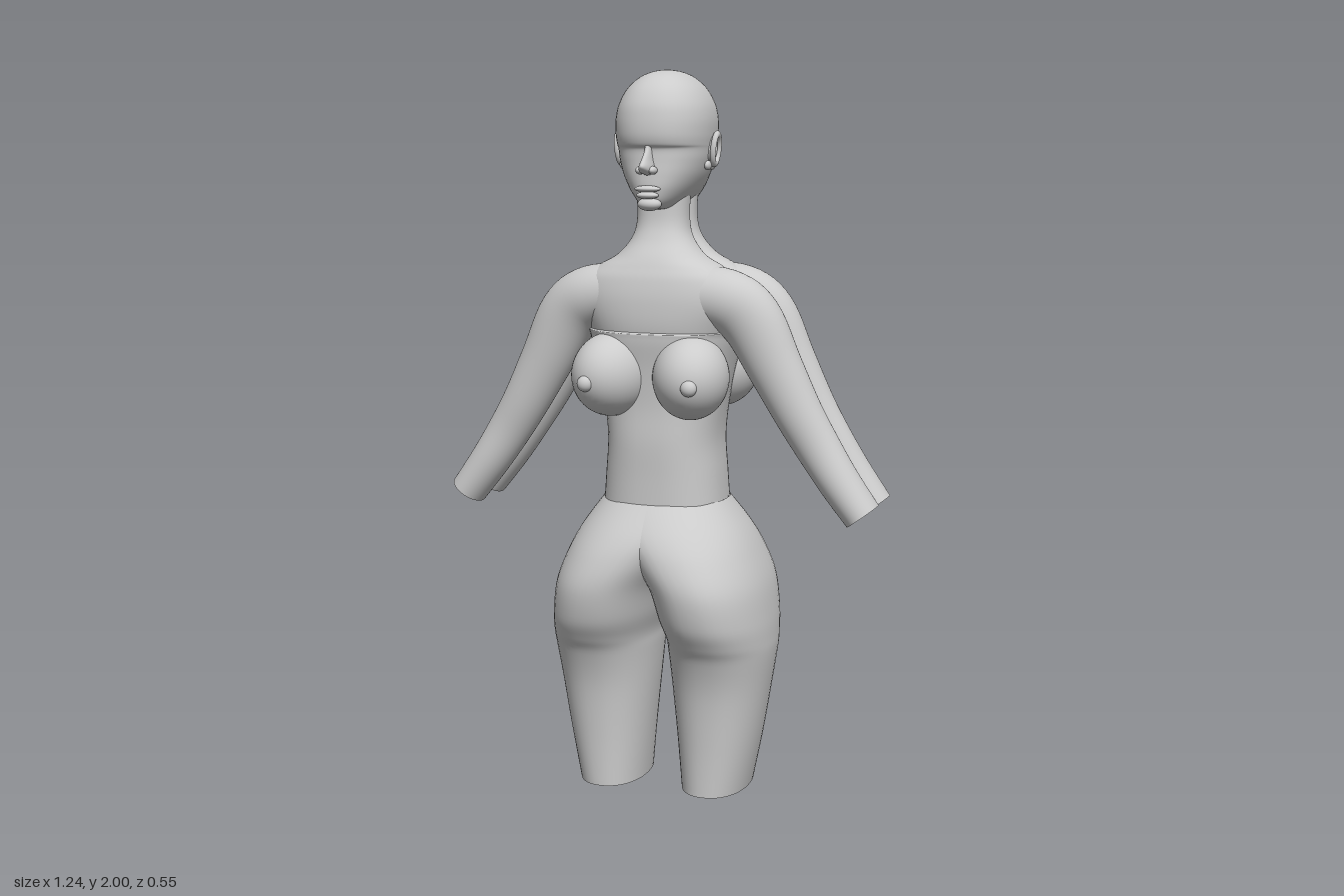
import * as THREE from 'three';

const SIDES = 48;
const mat = new THREE.MeshStandardMaterial({ color: 0xcccccc, side: THREE.DoubleSide });

// Smooth interpolation through rows of numbers
function refine(rows, steps) {
  const out = [];
  for (let i = 0; i < rows.length - 1; i++) {
    const p0 = rows[Math.max(i - 1, 0)], p1 = rows[i], p2 = rows[i + 1];
    const p3 = rows[Math.min(i + 2, rows.length - 1)];
    for (let s = 0; s < steps; s++) {
      const t = s / steps;
      out.push(p1.map((v, k) => v + 0.5 * t * (p2[k] - p0[k] +
        t * (2 * p0[k] - 5 * v + 4 * p2[k] - p3[k] + t * (3 * (v - p2[k]) + p3[k] - p0[k])))));
    }
  }
  out.push(rows[rows.length - 1]);
  return out;
}

// Skin over closed rings of points
function skin(rings) {
  const pos = [], idx = [];
  rings.forEach((ring, i) => ring.forEach((p, j) => {
    pos.push(...p);
    if (i === rings.length - 1) return;
    const a = i * SIDES + j, b = i * SIDES + (j + 1) % SIDES;
    idx.push(a, a + SIDES, b, b, a + SIDES, b + SIDES);
  }));
  const g = new THREE.BufferGeometry();
  g.setAttribute('position', new THREE.Float32BufferAttribute(pos, 3));
  g.setIndex(idx);
  g.computeVertexNormals();
  return g;
}

const around = (fn) => Array.from({ length: SIDES }, (_, j) => fn((j / SIDES) * Math.PI * 2));
const soft = (v, e) => Math.sign(v) * Math.abs(v) ** (2 / e);

// Upright loft; row = [y, centre x, half width, centre z, front depth, back depth]
function loft(rows, e = 2.2, steps = 6) {
  return skin(refine(rows, steps).map(([y, cx, rx, cz, rf, rb]) => around((a) => {
    const s = soft(Math.sin(a), e);
    return [cx + rx * soft(Math.cos(a), e), y, cz + s * (s > 0 ? rf : rb)];
  })));
}

// Limb swept in a vertical plane; row = [x, y, radius, centre z, z radius]
function limb(rows) {
  const r = refine(rows, 6);
  return skin(r.map(([x, y, rad, cz, rz], i) => {
    const p = r[Math.max(i - 1, 0)], q = r[Math.min(i + 1, r.length - 1)];
    const l = Math.hypot(q[0] - p[0], q[1] - p[1]);
    const nx = (q[1] - p[1]) / l, ny = (p[0] - q[0]) / l;
    return around((a) => [x + nx * rad * Math.cos(a), y + ny * rad * Math.cos(a), cz + rz * Math.sin(a)]);
  }));
}

function add(parent, name, geometry) {
  const m = new THREE.Mesh(geometry, mat);
  m.name = name;
  parent.add(m);
  return m;
}

function ball(parent, name, p, r) {
  const m = add(parent, name, new THREE.SphereGeometry(1, 40, 28));
  m.position.set(...p);
  m.scale.set(...r);
  return m;
}

// Left limbs and bust of one half
function buildSide() {
  const side = new THREE.Group();
  add(side, 'hipAndThigh', loft([
    [0.005, 0.152, 0.093, 0, 0.15, 0.1],
    [0.15, 0.16, 0.115, 0, 0.156, 0.1],
    [0.3, 0.165, 0.135, 0, 0.17, 0.1],
    [0.4, 0.168, 0.146, 0, 0.197, 0.1],
    [0.45, 0.167, 0.148, 0, 0.225, 0.1],
    [0.51, 0.156, 0.155, 0, 0.255, 0.1],
    [0.6, 0.135, 0.162, 0, 0.27, 0.1],
    [0.68, 0.09, 0.178, 0, 0.257, 0.1],
    [0.75, 0.042, 0.19, 0, 0.226, 0.1],
    [0.83, 0, 0.175, 0, 0.168, 0.1],
  ]));
  add(side, 'arm', limb([
    [0.08, 1.4, 0.08, 0.075, 0.08],
    [0.19, 1.388, 0.085, 0.075, 0.082],
    [0.262, 1.335, 0.086, 0.072, 0.074],
    [0.33, 1.21, 0.075, 0.07, 0.067],
    [0.395, 1.09, 0.066, 0.069, 0.062],
    [0.45, 1.0, 0.061, 0.068, 0.058],
    [0.51, 0.91, 0.056, 0.07, 0.06],
    [0.577, 0.82, 0.051, 0.07, 0.062],
  ]));
  const bust = ball(side, 'bust', [0.113, 1.183, 0.135], [0.104, 0.115, 0.13]);
  bust.rotation.y = 0.2;
  ball(side, 'bustTip', [0.146, 1.17, 0.256], [0.022, 0.022, 0.02]);
  ball(side, 'nostril', [0.018, 1.735, 0.172], [0.011, 0.011, 0.02]);
  return side;
}

// One half: trunk, neck, face details and both sides
function buildHalf() {
  const half = new THREE.Group();
  for (const s of [1, -1]) {
    const side = buildSide();
    side.name = s > 0 ? 'leftSide' : 'rightSide';
    side.scale.x = s;
    half.add(side);
  }
  add(half, 'bodice', loft([
    [0.8, 0, 0.172, 0, 0.164, 0.1],
    [0.9, 0, 0.164, 0, 0.166, 0.1],
    [1.0, 0, 0.157, 0, 0.17, 0.1],
    [1.1, 0, 0.168, 0, 0.168, 0.1],
    [1.2, 0, 0.188, 0, 0.176, 0.1],
    [1.285, 0, 0.205, 0.01, 0.178, 0.1],
    [1.303, 0, 0.2, 0.01, 0.168, 0.1],
    [1.306, 0, 0.1, 0.01, 0.08, 0.06],
  ], 2.5));
  add(half, 'chestAndNeck', loft([
    [1.2, 0, 0.17, 0.02, 0.13, 0.1],
    [1.3, 0, 0.2, 0.04, 0.137, 0.1],
    [1.38, 0, 0.225, 0.055, 0.125, 0.09],
    [1.44, 0, 0.215, 0.055, 0.116, 0.08],
    [1.475, 0, 0.175, 0.05, 0.108, 0.07],
    [1.505, 0, 0.122, 0.045, 0.098, 0.065],
    [1.55, 0, 0.085, 0.035, 0.08, 0.055],
    [1.6, 0, 0.072, 0.03, 0.068, 0.05],
    [1.68, 0, 0.074, 0.03, 0.065, 0.05],
  ], 2.3));
  add(half, 'nose', loft([
    [1.722, 0, 0.006, 0.15, 0.02, 0.02],
    [1.73, 0, 0.02, 0.15, 0.047, 0.02],
    [1.745, 0, 0.018, 0.15, 0.066, 0.02],
    [1.765, 0, 0.013, 0.15, 0.047, 0.02],
    [1.79, 0, 0.01, 0.15, 0.022, 0.02],
    [1.815, 0, 0.012, 0.15, 0.012, 0.02],
  ], 2));
  ball(half, 'upperLip', [0, 1.686, 0.165], [0.036, 0.009, 0.02]);
  ball(half, 'lowerLip', [0, 1.669, 0.164], [0.031, 0.01, 0.02]);
  ball(half, 'chin', [0, 1.645, 0.148], [0.033, 0.018, 0.026]);
  return half;
}

// Head shape shared by both faces: [y, half width, depth]
function buildHead() {
  const rows = [
    [1.628, 0.002, 0.01], [1.63, 0.035, 0.115], [1.645, 0.058, 0.15], [1.68, 0.086, 0.161],
    [1.72, 0.108, 0.161], [1.76, 0.121, 0.158], [1.79, 0.126, 0.158], [1.803, 0.128, 0.169],
    [1.83, 0.131, 0.175], [1.87, 0.131, 0.173], [1.91, 0.122, 0.163], [1.95, 0.1, 0.138],
    [1.98, 0.067, 0.1], [1.995, 0.033, 0.052], [2.0, 0.001, 0.001],
  ].map(([y, rx, rz]) => [y, 0, rx, 0, rz, rz]);
  return loft(rows, 2.25);
}

// Ear: rim, inner fold, bowl and lobe
function buildEar() {
  const ear = new THREE.Group();
  ear.name = 'ear';
  for (const [name, r, t, x] of [['earRim', 0.033, 0.008, 0.014], ['earFold', 0.018, 0.006, 0.008]]) {
    const ring = add(ear, name, new THREE.TorusGeometry(r, t, 12, 36));
    ring.rotation.y = Math.PI / 2;
    ring.scale.x = 0.75;
    ring.scale.y = 1.2;
    ring.position.x = x;
  }
  ball(ear, 'earBowl', [0, 0, 0], [0.011, 0.036, 0.024]);
  for (const z of [-0.018, 0.018]) ball(ear, 'earLobe', [0.002, -0.045, z], [0.009, 0.013, 0.018]);
  return ear;
}

export function createModel() {
  const model = new THREE.Group();
  model.name = 'twoFacedMannequin';
  const front = buildHalf();
  front.name = 'frontHalf';
  const back = buildHalf();
  back.name = 'backHalf';
  back.rotation.y = Math.PI;
  model.add(front, back);
  add(model, 'head', buildHead());
  for (const s of [1, -1]) {
    const ear = buildEar();
    ear.position.set(s * 0.124, 1.79, 0);
    ear.scale.x = s;
    ear.rotation.z = -s * 0.1;
    model.add(ear);
  }
  return model;
}
